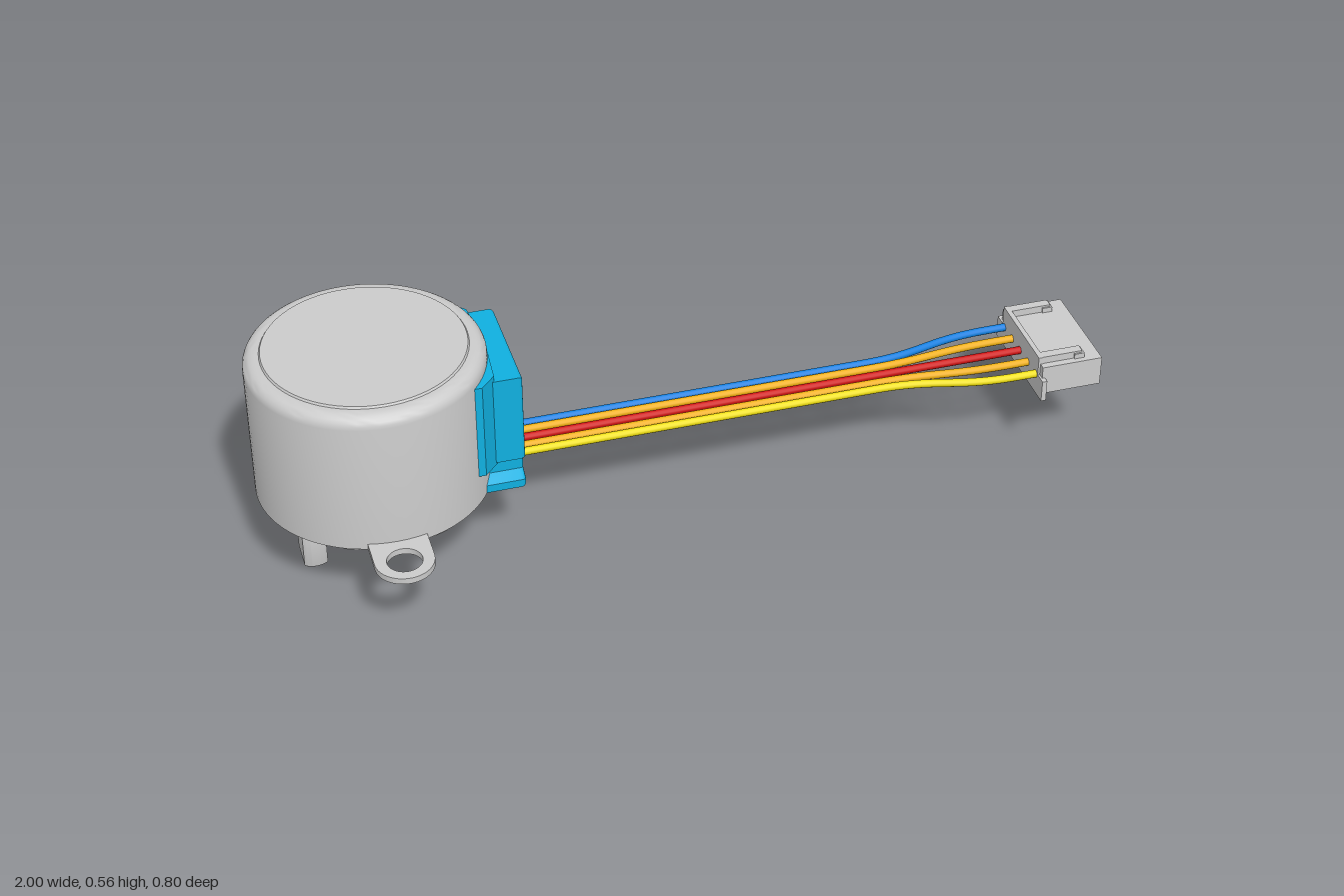
import * as THREE from 'three';
import { toCreasedNormals } from 'three/addons/utils/BufferGeometryUtils.js';

const mat = (color) => new THREE.MeshStandardMaterial({ color, side: THREE.DoubleSide });
const GREY = mat(0xcccccc), BLUE = mat(0x10b0e0);
const MX = -0.73, R = 0.27, SX = -0.885; // motor axis, motor radius, shaft axis

export function createModel() {
  const model = new THREE.Group();

  const add = (name, geo, material, parent = model) => {
    const mesh = new THREE.Mesh(geo, material);
    mesh.name = name;
    parent.add(mesh);
    return mesh;
  };
  const box = (name, x0, x1, y0, y1, z0, z1, material, parent) =>
    add(name, new THREE.BoxGeometry(x1 - x0, y1 - y0, z1 - z0), material, parent)
      .position.set((x0 + x1) / 2, (y0 + y1) / 2, (z0 + z1) / 2);
  const poly = (pts) => new THREE.Shape(pts.map(([x, y]) => new THREE.Vector2(x, y)));
  const extrude = (shape, depth, bevel = 0) => toCreasedNormals(new THREE.ExtrudeGeometry(shape, {
    depth: depth - 2 * bevel, curveSegments: 24, bevelEnabled: bevel > 0,
    bevelSize: bevel, bevelOffset: -bevel, bevelThickness: bevel, bevelSegments: 3,
  }).translate(0, 0, bevel), 0.6);
  // Plan outline (x, -z) raised from y0, and end outline (-z, y) run along x from x0
  const upward = (shape, y0, h, bevel) => extrude(shape, h, bevel).rotateX(-Math.PI / 2).translate(0, y0, 0);
  const alongX = (shape, x0, len, bevel) => extrude(shape, len, bevel).rotateY(Math.PI / 2).translate(x0, 0, 0);

  // Motor can with rounded top shoulder
  const profile = [[0, 0.205], [0.262, 0.205], [0.262, 0.2], [R, 0.2], [R, 0.525]];
  for (let i = 1; i <= 6; i++) {
    const a = (i / 6) * Math.PI / 2;
    profile.push([0.24 + 0.03 * Math.cos(a), 0.525 + 0.03 * Math.sin(a)]);
  }
  profile.push([0.232, 0.555], [0.229, 0.56], [0, 0.56]);
  const can = new THREE.LatheGeometry(profile.map(([x, y]) => new THREE.Vector2(x, y)), 72);
  add('motorCan', toCreasedNormals(can, 0.6), GREY).position.x = MX;

  // Mounting ears with screw holes
  for (const s of [1, -1]) {
    const ear = new THREE.Shape();
    ear.moveTo(-0.067, 0.2);
    ear.lineTo(0.067, 0.2);
    ear.lineTo(0.067, 0.335);
    ear.absarc(0, 0.335, 0.067, 0, Math.PI, false);
    ear.lineTo(-0.067, 0.2);
    const hole = new THREE.Path();
    hole.absarc(0, 0.338, 0.04, 0, Math.PI * 2, true);
    ear.holes.push(hole);
    const mesh = add(s > 0 ? 'backEar' : 'frontEar', upward(ear, 0.199, 0.015), GREY);
    mesh.position.x = MX;
    if (s < 0) mesh.rotation.y = Math.PI;
  }

  // Crimp tabs around the base rim, and rivets on the bottom plate
  for (let i = 0; i < 8; i++) {
    const a = (i + 0.5) * Math.PI / 4;
    const tab = add('crimpTab', new THREE.BoxGeometry(0.02, 0.012, 0.035), GREY);
    tab.position.set(MX + 0.256 * Math.cos(a), 0.201, 0.256 * Math.sin(a));
    tab.rotation.y = -a;
  }
  for (const [x, z] of [[-0.6, 0.13], [-0.6, -0.13], [-0.68, 0.03], [-0.55, 0], [-0.76, 0.17], [-0.76, -0.17]]) {
    add('rivet', new THREE.CylinderGeometry(0.013, 0.013, 0.01, 16), GREY).position.set(x, 0.202, z);
  }

  // Shaft boss, round neck and double-flat shaft
  const cyl = (name, r, y0, y1) =>
    add(name, new THREE.CylinderGeometry(r, r, y1 - y0, 48), GREY).position.set(SX, (y0 + y1) / 2, 0);
  cyl('shaftBoss', 0.085, 0.163, 0.21);
  cyl('shaftNeck', 0.046, 0.117, 0.17);
  const flat = new THREE.Shape();
  const fa = Math.acos(0.027 / 0.046);
  flat.absarc(0, 0, 0.046, fa, Math.PI - fa, false);
  flat.absarc(0, 0, 0.046, Math.PI + fa, Math.PI * 2 - fa, false);
  flat.closePath();
  add('shaft', upward(flat, 0, 0.12, 0.004), GREY).position.x = SX;

  // Blue wire cover: waisted block with side flanges against the can
  const cover = new THREE.Group();
  cover.name = 'wireCover';
  model.add(cover);
  const half = [[0.14, 0.2], [0.14, 0.22], [0.115, 0.235], [0.115, 0.262], [0.14, 0.28], [0.14, 0.503]];
  const outline = [...half, ...half.map(([x, y]) => [-x, y]).reverse()];
  add('coverBlock', alongX(poly(outline), -0.53, 0.124, 0.01), BLUE, cover);
  const plan = [[-0.6, -0.172], [-0.505, -0.172], [-0.47, -0.135], [-0.47, 0.135], [-0.505, 0.172], [-0.6, 0.172]];
  add('coverFlange', upward(poly(plan), 0.275, 0.223), BLUE, cover);
  for (const s of [1, -1]) {
    const lip = [[-0.6, 0.04], [-0.462, 0.04], [-0.47, 0.135], [-0.505, 0.172], [-0.6, 0.172]];
    add('coverLip', upward(poly(lip.map(([x, z]) => [x, s * z])), 0.498, 0.018), BLUE, cover);
  }

  // Five wires fanning out to the connector
  const wires = [
    ['blueWire', 0x1080e0, -0.053, -0.1], ['upperOrangeWire', 0xf0b010, -0.029, -0.05],
    ['redWire', 0xd01010, 0, 0], ['lowerOrangeWire', 0xf0b010, 0.029, 0.05],
    ['yellowWire', 0xf0e010, 0.053, 0.1],
  ];
  for (const [name, color, z0, z1] of wires) {
    const path = new THREE.CurvePath();
    const p = (x, z) => new THREE.Vector3(x, 0.231, z);
    path.add(new THREE.LineCurve3(p(-0.43, z0), p(0.46, z0)));
    path.add(new THREE.CubicBezierCurve3(p(0.46, z0), p(0.62, z0), p(0.64, z1), p(0.8, z1)));
    path.add(new THREE.LineCurve3(p(0.8, z1), p(0.87, z1)));
    add(name, new THREE.TubeGeometry(path, 60, 0.0095, 12), mat(color));
  }

  // Connector: notched housing with five sockets, back wall, flange and top ribs
  const plug = new THREE.Group();
  plug.name = 'connector';
  model.add(plug);
  const pins = [-0.096, -0.048, 0, 0.048, 0.096];
  const body = [[-0.128, 0.265], [-0.128, 0.19]];
  for (const z of pins) body.push([z - 0.012, 0.19], [z - 0.012, 0.203], [z + 0.012, 0.203], [z + 0.012, 0.19]);
  body.push([0.128, 0.19], [0.128, 0.265]);
  const housing = poly(body);
  for (const z of pins) {
    housing.holes.push(new THREE.Path([[-1, -1], [-1, 1], [1, 1], [1, -1]]
      .map(([a, b]) => new THREE.Vector2(z + a * 0.01, 0.242 + b * 0.01))));
  }
  add('housing', alongX(housing, 0.88, 0.12), GREY, plug);
  box('backWall', 0.85, 0.88, 0.19, 0.265, -0.128, 0.128, GREY, plug);
  box('flange', 0.845, 0.857, 0.18, 0.235, -0.143, 0.143, GREY, plug);
  box('topRail', 0.845, 0.857, 0.23, 0.283, -0.112, 0.112, GREY, plug);
  for (const s of [1, -1]) {
    box('topRib', 0.85, 0.955, 0.26, 0.283, s * 0.1 - 0.011, s * 0.1 + 0.011, GREY, plug);
    box('ribHook', 0.935, 0.96, 0.26, 0.278, s * 0.1 - 0.015, s * 0.1 + 0.015, GREY, plug);
  }
  for (const z of pins) {
    box('contact', 0.88, 0.985, 0.237, 0.247, z - 0.005, z + 0.005, GREY, plug);
  }
  return model;
}
